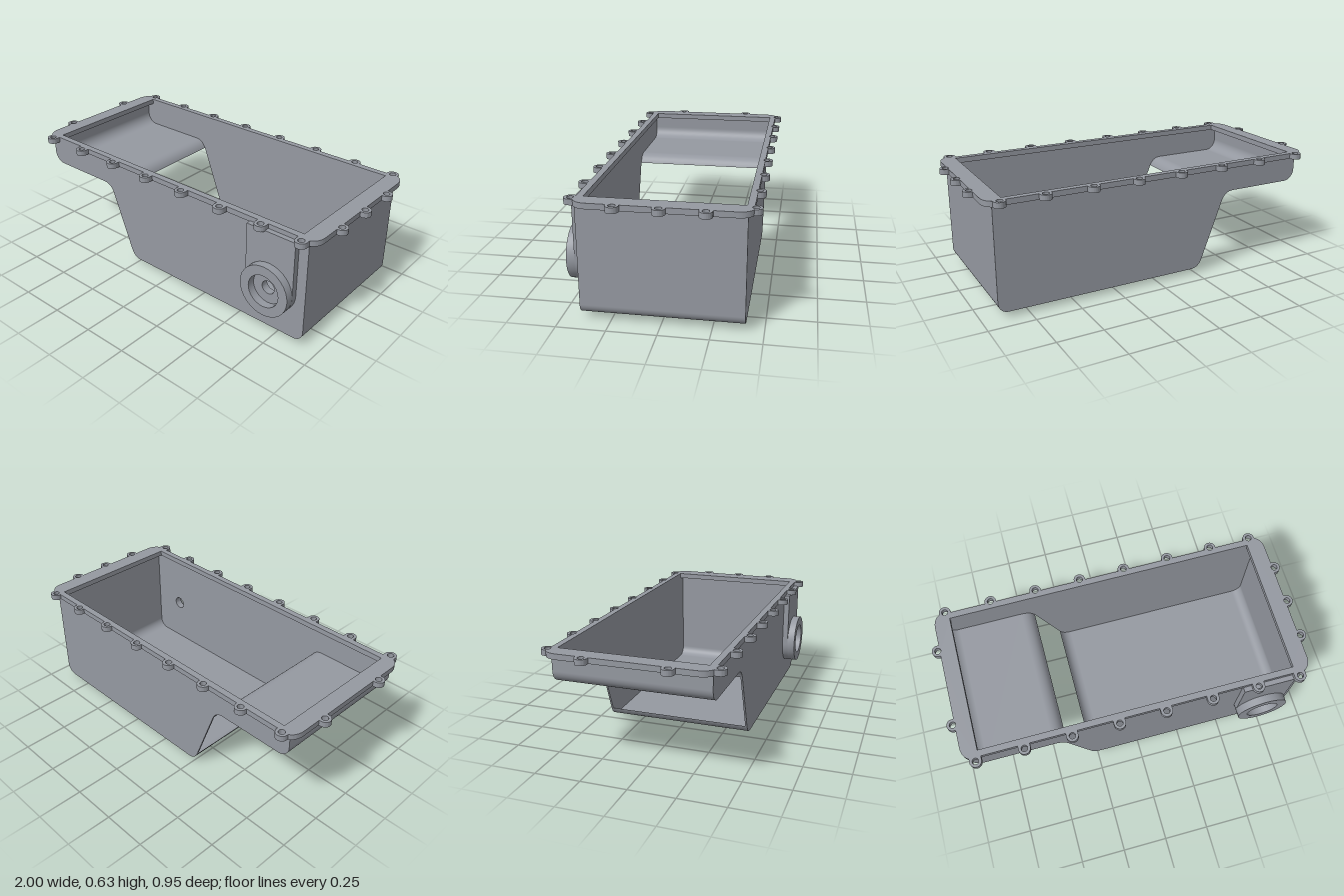
import * as THREE from 'three';
import { toCreasedNormals } from 'three/addons/utils/BufferGeometryUtils.js';

export function createModel() {
  const root = new THREE.Group();
  const metal = new THREE.MeshStandardMaterial({ color: 0x9599a1, side: THREE.DoubleSide });
  metal.name = 'castGrey';

  const add = (name, geo) => {
    const mesh = new THREE.Mesh(geo, metal);
    mesh.name = name;
    root.add(mesh);
    return mesh;
  };
  const extrude = (shape, depth, z = 0) => {
    const geo = new THREE.ExtrudeGeometry(shape, { depth, bevelEnabled: false, curveSegments: 16 });
    geo.translate(0, 0, z);
    return toCreasedNormals(geo, 0.5);
  };
  const circle = (x, y, r) => new THREE.Path().absarc(x, y, r, 0, Math.PI * 2, true);

  const zBack = -0.41, zFront = 0.4, yRim = 0.605;
  const port = { x: 0.718, y: 0.29, hole: 0.037, recess: 0.09, r: 0.143 };

  // Lower outlines of the shallow step and the deep sump
  const stepPath = new THREE.Path();
  stepPath.moveTo(-0.915, yRim);
  stepPath.lineTo(-0.915, 0.525);
  stepPath.absarc(-0.85, 0.525, 0.065, Math.PI, Math.PI * 1.5, false);
  stepPath.lineTo(-0.485, 0.46);
  stepPath.quadraticCurveTo(-0.433, 0.46, -0.412, 0.41);
  const sumpPath = new THREE.Path();
  sumpPath.moveTo(-0.288, 0.08);
  sumpPath.quadraticCurveTo(-0.268, 0.03, -0.22, 0.03);
  sumpPath.lineTo(0.86, 0.03);
  sumpPath.absarc(0.86, 0.085, 0.055, -Math.PI / 2, 0, false);
  sumpPath.lineTo(0.915, yRim);
  const stepPts = stepPath.getPoints(12), sumpPts = sumpPath.getPoints(12);

  // Floor sheets swept from back to front; the slope between them is open
  const sweep = (pts) => {
    const geo = new THREE.PlaneGeometry(1, 1, pts.length - 1, 1);
    const pos = geo.attributes.position;
    for (let i = 0; i < pos.count; i++) {
      const p = pts[i % pts.length];
      pos.setXYZ(i, p.x, p.y, i < pts.length ? zBack : zFront);
    }
    geo.computeVertexNormals();
    return geo;
  };
  add('stepFloor', sweep(stepPts));
  add('sumpFloor', sweep(sumpPts));

  // Thin side walls
  const outline = [...stepPts, ...sumpPts];
  add('backWall', extrude(new THREE.Shape(outline), 0.01, zBack));
  const frontShape = new THREE.Shape(outline);
  frontShape.holes.push(circle(port.x, port.y, port.hole));
  add('frontWall', extrude(frontShape, 0.01, zFront - 0.01));

  // Rim flange with bolt ears, walked around its four edges (shape y is z)
  const xE = 0.958, zF = 0.405, zB = -0.435, r = 0.032, corner = 0.075;
  const rowX = [-0.89, -0.632, -0.376, -0.119, 0.138, 0.396, 0.653, 0.886];
  const flange = new THREE.Shape();
  const ears = [];
  const edge = (angle, line, list) => {
    const dx = Math.round(Math.cos(angle)), dy = Math.round(Math.sin(angle));
    for (const [x, y] of list) {
      for (const s of [-1, 1]) {
        const px = dx ? line : x - dy * s * r, py = dy ? line : y + dx * s * r;
        flange.lineTo(px, py);
        if (s < 0) flange.absarc(x, y, r, angle - Math.PI / 2, angle + Math.PI / 2, false);
      }
      ears.push([x, y]);
    }
  };
  flange.moveTo(xE, zB + corner);
  edge(0, xE, [-0.225, -0.01, 0.205].map((z) => [0.967, z]));
  flange.lineTo(xE, zF - corner);
  flange.quadraticCurveTo(xE, zF - 0.02, 0.886 + r, zF);
  edge(Math.PI / 2, zF, [...rowX].reverse().map((x) => [x, 0.426]));
  flange.quadraticCurveTo(-xE, zF - 0.02, -xE, zF - corner);
  edge(Math.PI, -xE, [0.205, -0.225].map((z) => [-0.968, z]));
  flange.lineTo(-xE, zB + corner);
  flange.quadraticCurveTo(-xE, zB + 0.02, -0.89 - r, zB);
  edge(Math.PI * 1.5, zB, rowX.map((x) => [x, -0.442]));
  flange.quadraticCurveTo(xE, zB + 0.02, xE, zB + corner);
  for (const [x, z] of ears) flange.holes.push(circle(x, z, 0.017));
  flange.holes.push(new THREE.Path([
    [-0.87, -0.4], [-0.87, 0.37], [0.865, 0.37], [0.865, -0.4],
  ].map(([x, z]) => new THREE.Vector2(x, z))));
  const rim = add('rimFlange', extrude(flange, 0.03));
  rim.rotation.x = Math.PI / 2;
  rim.position.y = 0.63;

  // Raised pad running from the rim down around the port
  const pad = new THREE.Shape();
  pad.moveTo(port.x + port.r, yRim);
  pad.lineTo(port.x - port.r, yRim);
  pad.lineTo(port.x - port.r, port.y);
  pad.absarc(port.x, port.y, port.r, Math.PI, Math.PI * 2, false);
  pad.holes.push(circle(port.x, port.y, port.hole));
  add('portPad', extrude(pad, 0.032, zFront));

  // Ring boss around the port
  const ring = new THREE.Shape().absarc(port.x, port.y, port.r, 0, Math.PI * 2, false);
  ring.holes.push(circle(port.x, port.y, port.recess));
  add('portBoss', extrude(ring, 0.043, zFront + 0.032));

  // Drain plug under the sump
  const plug = add('drainPlug', new THREE.CylinderGeometry(0.053, 0.053, 0.03, 32));
  plug.position.set(0.233, 0.015, -0.15);

  return root;
}
